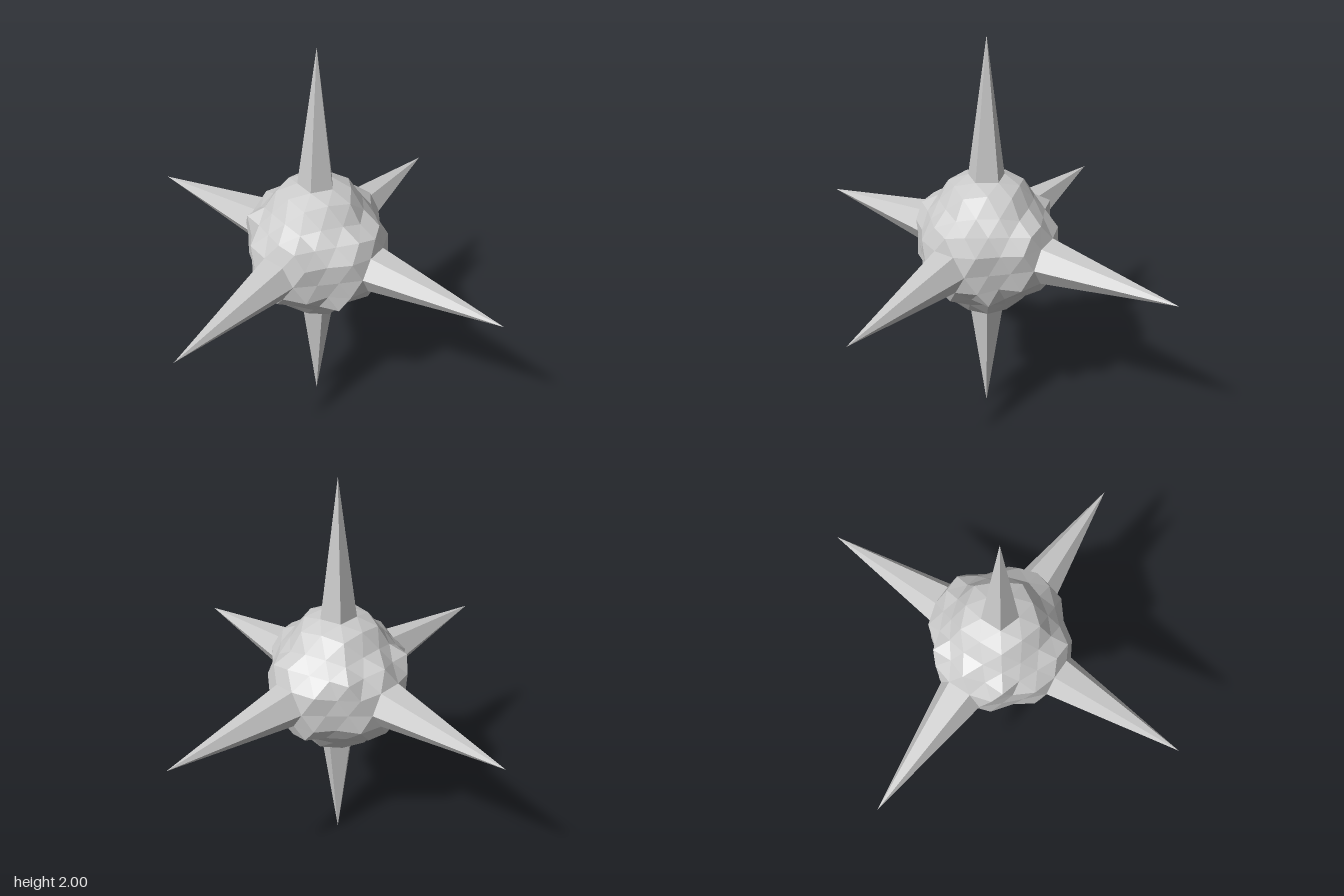
import * as THREE from 'three';

const CENTRE = 1; // height of the core above the ground

// Spike directions on the sphere and the points they reach
const SPIKES = [
  { name: 'topSpike', dir: [0, 1, 0], tip: [0, 1, 0] },
  { name: 'bottomSpike', dir: [0, -1, 0], tip: [0, -1, 0] },
  { name: 'leftSpike', dir: [1, 0, 0], tip: [0.985, -0.02, 0] },
  { name: 'rightSpike', dir: [-1, 0, 0], tip: [-0.985, 0.02, 0] },
  { name: 'frontSpike', dir: [0, 0, 1], tip: [0, 0, 0.99] },
  { name: 'backSpike', dir: [0, 0, -1], tip: [0, 0, -0.99] },
].map(s => ({ name: s.name, dir: new THREE.Vector3(...s.dir), tip: new THREE.Vector3(...s.tip) }));

// Radius of the rough core: raised knobs, sunken away from the spikes
function coreRadius(d, knobs) {
  if (knobs.some(k => k.dot(d) > 0.999)) return 0.365;
  const nearAxis = Math.max(Math.abs(d.x), Math.abs(d.y), Math.abs(d.z));
  return nearAxis > 0.82 ? 0.354 : 0.322;
}

function facetedMesh(name, points, material) {
  const geo = new THREE.BufferGeometry().setFromPoints(points);
  geo.computeVertexNormals();
  const mesh = new THREE.Mesh(geo, material);
  mesh.name = name;
  return mesh;
}

export function createModel() {
  const group = new THREE.Group();
  group.name = 'spikedBall';
  const material = new THREE.MeshStandardMaterial({ color: 0xcccccc, flatShading: true });

  // Icosphere turned so that one corner points straight up
  const tilt = -Math.atan(2 / (1 + Math.sqrt(5)));
  const cornersAt = new THREE.IcosahedronGeometry(1, 0).rotateZ(tilt).attributes.position;
  const knobs = [];
  for (let i = 0; i < cornersAt.count; i++) knobs.push(new THREE.Vector3().fromBufferAttribute(cornersAt, i));
  const sphere = new THREE.IcosahedronGeometry(1, 3).rotateZ(tilt).attributes.position;

  // Sort the triangles into the core and the six spikes
  const core = [];
  const spikes = SPIKES.map(() => []);
  for (let i = 0; i < sphere.count; i += 3) {
    let target = core;
    const triangle = [0, 1, 2].map(j => {
      const d = new THREE.Vector3().fromBufferAttribute(sphere, i + j).normalize();
      const s = SPIKES.findIndex(k => k.dir.dot(d) > 0.999);
      if (s < 0) return d.multiplyScalar(coreRadius(d, knobs));
      target = spikes[s];
      return SPIKES[s].tip.clone();
    });
    target.push(...triangle);
  }

  group.add(facetedMesh('core', core, material));
  SPIKES.forEach((s, i) => group.add(facetedMesh(s.name, spikes[i], material)));
  group.children.forEach(m => { m.position.y = CENTRE; });
  return group;
}
